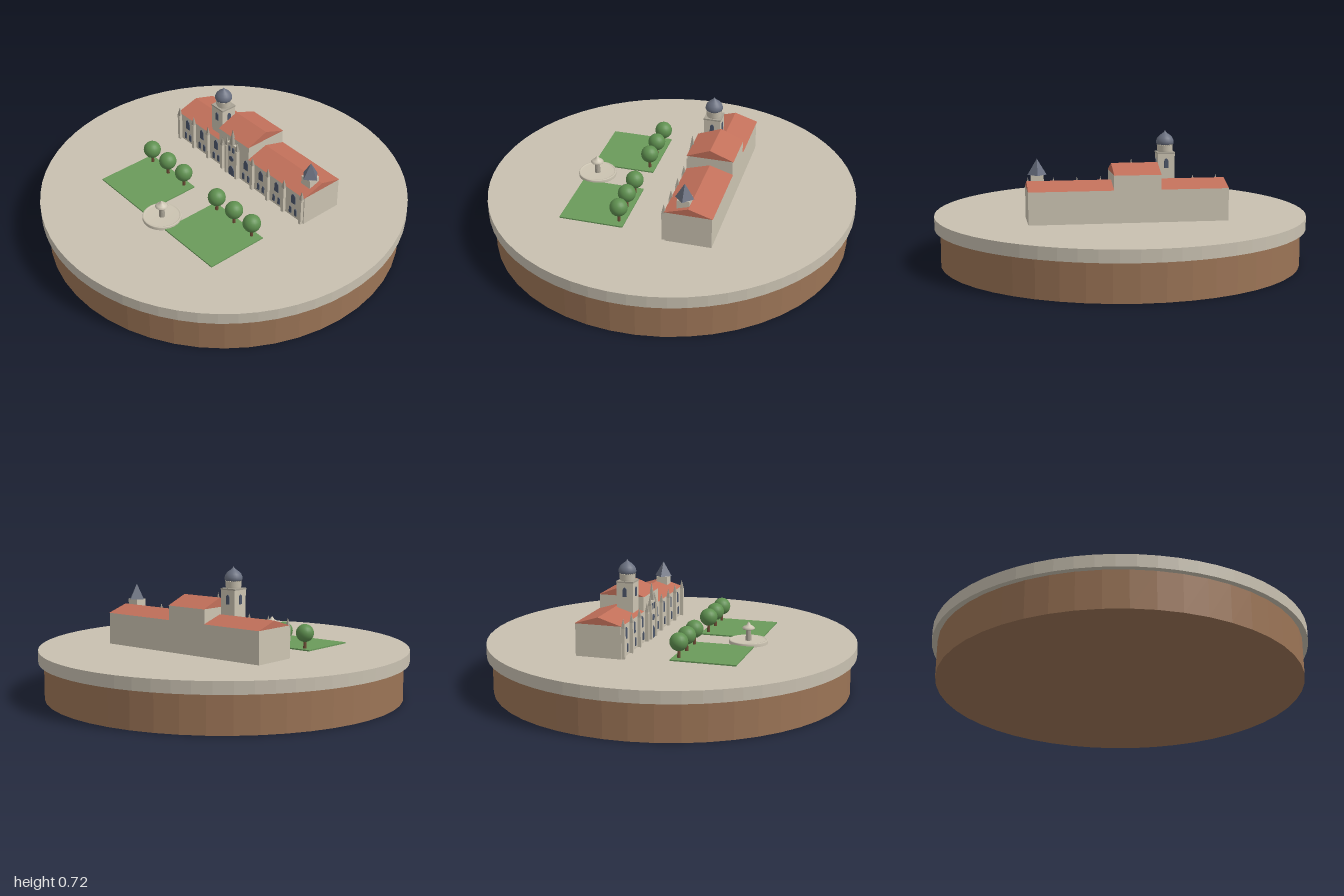
import * as THREE from 'three';

const mat = (name, color, flatShading = false) => {
  const m = new THREE.MeshStandardMaterial({ color });
  m.name = name;
  m.flatShading = flatShading;
  return m;
};

export function createModel() {
  const earth = mat('earth', 0x9b7456, true);
  const paving = mat('paving', 0xc8c0b0, true);
  const wall = mat('wall stone', 0xccc4b2);
  const trim = mat('trim stone', 0xa8a294, true);
  const roofTile = mat('roof tile', 0xc2705a);
  const slate = mat('slate', 0x6a7080);
  const glass = mat('window glass', 0x4c566a);
  const grass = mat('grass', 0x6a9a5a);
  const leaf = mat('leaf', 0x5f9050);
  const bark = mat('bark', 0x6b4a34);

  const model = new THREE.Group();
  const site = new THREE.Group();
  site.name = 'site';
  site.rotation.y = -Math.PI / 9;
  model.add(site);

  const GROUND = 0.265;
  const BACK = -0.353, FRONT = -0.107, MID = -0.23;

  const add = (name, geo, material, x, y, z, parent = site) => {
    const mesh = new THREE.Mesh(geo, material);
    mesh.name = name;
    mesh.position.set(x, y, z);
    parent.add(mesh);
    return mesh;
  };
  // Box standing on y0 and reaching y1
  const block = (name, material, x, z, w, d, y0, y1) =>
    add(name, new THREE.BoxGeometry(w, y1 - y0, d), material, x, (y0 + y1) / 2, z);
  // Round or polygonal post from y0 to y1
  const post = (name, material, x, z, r0, r1, y0, y1, sides = 24, parent = site) =>
    add(name, new THREE.CylinderGeometry(r1, r0, y1 - y0, sides), material, x, (y0 + y1) / 2, z, parent);
  const spire = (name, material, x, z, r, y0, y1, turn = Math.PI / 4) => {
    const g = new THREE.ConeGeometry(r, y1 - y0, 4).toNonIndexed();
    g.computeVertexNormals();
    add(name, g, material, x, (y0 + y1) / 2, z).rotation.y = turn;
  };
  const lathe = (name, material, x, z, points) =>
    add(name, new THREE.LatheGeometry(points.map(p => new THREE.Vector2(...p)), 24), material, x, 0, z);

  // Round base
  post('earthBase', earth, 0, 0, 0.97, 0.97, 0, 0.2, 48, model);
  post('plaza', paving, 0, 0, 1, 1, 0.2, GROUND, 64, model);

  // Triangular roof running along x
  const gableRoof = (name, x0, x1, eave, ridge) => {
    const h = 0.127;
    const s = new THREE.Shape();
    s.moveTo(-h, 0).lineTo(h, 0).lineTo(0, ridge - eave).closePath();
    const g = new THREE.ExtrudeGeometry(s, { depth: x1 - x0, bevelEnabled: false });
    g.rotateY(Math.PI / 2);
    add(name, g, roofTile, x0, eave, MID);
  };
  const hall = (name, x0, x1, eave, ridge) => {
    block(name + 'Walls', wall, (x0 + x1) / 2, MID, x1 - x0, FRONT - BACK, GROUND, eave);
    gableRoof(name + 'Roof', x0, x1, eave, ridge);
  };
  hall('leftWing', 0.08, 0.52, 0.436, 0.475);
  hall('rightWing', -0.52, -0.165, 0.436, 0.475);
  hall('centreHall', -0.165, 0.08, 0.513, 0.562);

  // Pointed-arch plate, standing on y
  const arch = (name, x, y, z, w, h, material = glass) => {
    const s = new THREE.Shape();
    s.moveTo(-w / 2, 0).lineTo(w / 2, 0).lineTo(w / 2, h - w * 0.8);
    s.quadraticCurveTo(w / 2, h - w * 0.3, 0, h);
    s.quadraticCurveTo(-w / 2, h - w * 0.3, -w / 2, h - w * 0.8);
    return add(name, new THREE.ExtrudeGeometry(s, { depth: 0.004, bevelEnabled: false }), material, x, y, z);
  };

  // Buttresses with pinnacles
  const buttress = (x, top, tip) => {
    block('buttress', wall, x, FRONT + 0.008, 0.018, 0.02, GROUND, top);
    spire('pinnacle', trim, x, FRONT + 0.008, 0.014, top, tip);
  };
  for (const x of [-0.505, -0.38, -0.255, -0.13, 0.12, 0.245, 0.37, 0.505]) buttress(x, 0.425, 0.475);

  // Two storeys of windows in each bay
  for (const x of [-0.4425, -0.3175, -0.1925, 0.06, 0.1825, 0.3075, 0.4375]) {
    arch('upperWindow', x, 0.355, FRONT, 0.03, 0.062);
    for (const s of [-1, 1]) arch('lowerWindow', x + s * 0.02, 0.282, FRONT, 0.016, 0.045);
  }

  // Entrance porch
  const PX = -0.045, PZ = FRONT + 0.014;
  block('porch', wall, PX, FRONT, 0.075, 0.028, GROUND, 0.475);
  spire('porchSpire', trim, PX, FRONT + 0.006, 0.02, 0.475, 0.57);
  for (const s of [-1, 1]) {
    block('porchButtress', wall, PX + s * 0.042, FRONT + 0.01, 0.016, 0.026, GROUND, 0.45);
    spire('porchPinnacle', trim, PX + s * 0.042, FRONT + 0.01, 0.013, 0.45, 0.505);
    arch('porchWindow', PX + s * 0.016, 0.425, PZ, 0.013, 0.035);
  }
  arch('door', PX, GROUND, PZ, 0.042, 0.065);
  const rose = add('roseWindow', new THREE.CylinderGeometry(0.017, 0.017, 0.004, 20), glass, PX, 0.378, PZ + 0.002);
  rose.rotation.x = Math.PI / 2;

  // Domed tower
  const TX = -0.213, TZ = -0.178;
  block('domeTower', wall, TX, TZ, 0.09, 0.09, GROUND, 0.605);
  block('towerCornice', trim, TX, TZ, 0.094, 0.094, 0.603, 0.611);
  for (let i = 0; i < 4; i++) {
    const a = i * Math.PI / 2;
    const w = arch('towerWindow', TX + Math.sin(a) * 0.045, 0.53, TZ + Math.cos(a) * 0.045, 0.022, 0.05);
    w.rotation.y = a;
  }
  lathe('domeDrum', wall, TX, TZ, [[0.036, 0.605], [0.041, 0.62], [0.041, 0.645], [0.045, 0.65], [0, 0.652]]);
  lathe('dome', slate, TX, TZ, [[0, 0.648], [0.043, 0.648], [0.047, 0.658], [0.046, 0.67], [0.04, 0.684],
    [0.028, 0.697], [0.014, 0.707], [0.006, 0.714], [0, 0.724]]);

  // End turret
  block('turret', wall, 0.463, -0.197, 0.065, 0.065, 0.42, 0.503);
  spire('turretRoof', slate, 0.463, -0.197, 0.05, 0.503, 0.587, 0);

  // Lawns and tree rows
  for (const s of [-1, 1]) {
    block('lawn', grass, s * 0.28, 0.307, 0.38, 0.345, GROUND, GROUND + 0.007);
    for (const x of [0.14, 0.28, 0.42]) {
      post('trunk', bark, s * x, 0.168, 0.009, 0.007, GROUND, 0.33, 8);
      add('treeCrown', new THREE.SphereGeometry(0.048, 20, 14), leaf, s * x, 0.355, 0.168);
    }
  }

  // Fountain
  const FZ = 0.428;
  lathe('fountainPool', wall, 0, FZ, [[0.104, GROUND], [0.104, 0.28], [0.102, 0.284], [0.094, 0.284], [0.092, 0.279], [0, 0.279]]);
  post('fountainStem', trim, 0, FZ, 0.017, 0.012, 0.278, 0.345, 12);
  lathe('fountainCap', wall, 0, FZ, [[0, 0.337], [0.03, 0.34], [0.035, 0.346], [0.026, 0.355], [0.012, 0.362], [0.009, 0.37], [0, 0.38]]);

  return model;
}
